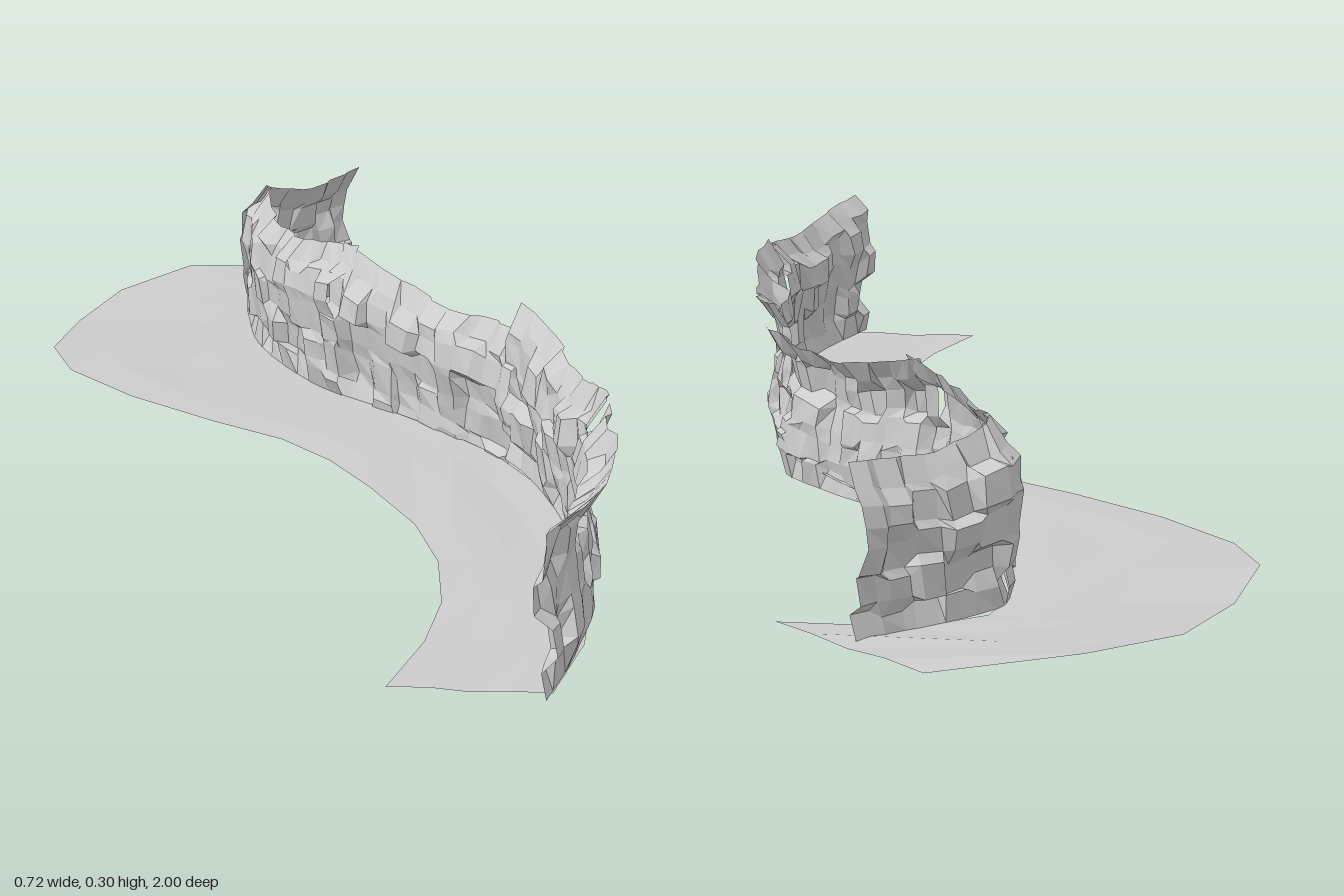
import * as THREE from 'three';

const material = new THREE.MeshStandardMaterial({ color: 0xcccccc, flatShading: true, side: THREE.DoubleSide });
const { lerp, clamp } = THREE.MathUtils;

// Repeatable value in -1..1 for a grid position
function noise(a, b, c = 0) {
  const s = Math.sin(a * 127.1 + b * 311.7 + c * 74.7) * 43758.5453;
  return (s - Math.floor(s)) * 2 - 1;
}

// Faceted sheet from a grid of points: point(column, row) gives a Vector3
function sheet(name, columns, rows, point) {
  const positions = [], index = [];
  for (let i = 0; i <= columns; i++) {
    for (let j = 0; j <= rows; j++) positions.push(...point(i, j).toArray());
  }
  for (let i = 0; i < columns; i++) {
    for (let j = 0; j < rows; j++) {
      const a = i * (rows + 1) + j, b = a + rows + 1;
      index.push(a, a + 1, b + 1, a, b + 1, b);
    }
  }
  const geometry = new THREE.BufferGeometry();
  geometry.setAttribute('position', new THREE.Float32BufferAttribute(positions, 3));
  geometry.setIndex(index);
  geometry.computeVertexNormals();
  const mesh = new THREE.Mesh(geometry, material);
  mesh.name = name;
  return mesh;
}

// Ground strip: outer edge x, z, y and inner edge x, z for each cross-section
const groundRows = [
  [-0.05, 0.92, 0.042, 0.165, 0.97],
  [0.03, 0.78, 0.042, 0.245, 0.82],
  [0.08, 0.65, 0.042, 0.295, 0.66],
  [0.105, 0.50, 0.042, 0.315, 0.50],
  [0.10, 0.35, 0.042, 0.325, 0.34],
  [0.06, 0.18, 0.042, 0.32, 0.20],
  [0.02, 0.05, 0.040, 0.285, 0.06],
  [-0.04, -0.06, 0.040, 0.215, -0.08],
  [-0.14, -0.16, 0.042, 0.14, -0.20],
  [-0.26, -0.30, 0.044, 0.065, -0.32],
  [-0.35, -0.45, 0.046, 0.02, -0.44],
  [-0.37, -0.57, 0.050, 0.00, -0.56],
  [-0.31, -0.73, 0.046, 0.00, -0.68],
  [-0.22, -0.88, 0.054, 0.03, -0.74],
  [-0.08, -0.98, 0.065, 0.13, -0.785],
  [0.13, -1.00, 0.050, 0.32, -0.75],
];

function ground() {
  const across = 4;
  return sheet('groundStrip', groundRows.length - 1, across, (i, j) => {
    const [x0, z0, y0, x1, z1] = groundRows[i];
    const t = j / across;
    const ripple = j > 0 && j < across ? noise(i, j) * 0.003 : 0;
    return new THREE.Vector3(lerp(x0, x1, t), lerp(y0, 0.04, t) + ripple, lerp(z0, z1, t));
  });
}

// Line of the cliff foot
const cliffLine = new THREE.CatmullRomCurve3([
  [0.152, 0.99], [0.225, 0.85], [0.28, 0.70], [0.31, 0.55], [0.322, 0.40], [0.322, 0.25],
  [0.30, 0.10], [0.25, -0.01], [0.19, -0.12], [0.12, -0.22], [0.06, -0.32], [0.025, -0.42],
  [0.0, -0.52], [-0.008, -0.62], [0.005, -0.70], [0.06, -0.75], [0.14, -0.80], [0.21, -0.85],
].map(([x, z]) => new THREE.Vector3(x, 0, z)));

// Cliff sections: start and end along the line, rim height at start, middle and end,
// foot height at start and end. They overlap a little, and the third one sinks at its start.
const sections = [
  [0.0, 0.232, 0.30, 0.265, 0.292, 0.04, 0.04],
  [0.22, 0.455, 0.303, 0.26, 0.297, 0.04, 0.04],
  [0.436, 0.668, 0.255, 0.24, 0.297, 0.002, 0.036],
  [0.654, 0.876, 0.297, 0.265, 0.295, 0.038, 0.04],
  [0.862, 1.0, 0.303, 0.27, 0.285, 0.04, 0.04],
];

// Lean of the cliff face from foot to rim
const lean = [0, 0.003, 0.002, -0.002, -0.007, -0.012, -0.015, -0.01, 0.004, 0.028];

// Moves paired grid lines apart, so that wide blocks alternate with narrow steps
const blockShift = (i) => (i % 2 ? 0.22 : -0.22);

function cliffSection([start, end, h0, h1, h2, foot0, foot1], k) {
  const columns = Math.round((end - start) * 34) * 2 + 1, rows = lean.length - 1;
  return sheet('cliffSection' + (k + 1), columns, rows, (i, j) => {
    const sideEdge = i === 0 || i === columns, levelEdge = j === 0 || j === rows;
    const u = (i + (sideEdge ? 0 : blockShift(i))) / columns;
    const v = (j + (levelEdge ? 0 : blockShift(j))) / rows;
    const t = clamp(lerp(start, end, u), 0, 1);
    const p = cliffLine.getPointAt(t);
    const tangent = cliffLine.getTangentAt(t);
    const outward = new THREE.Vector3(-tangent.z, 0, tangent.x);
    // blocks stand out by different amounts, with a finer roughness on top
    const block = noise(i >> 1, j >> 1, k) * 0.015;
    const relief = j === 0 ? 0 : block + noise(i, j, k + 9) * 0.004;
    p.addScaledVector(outward, lean[j] + relief * (j === rows ? 0.5 : 1));
    p.addScaledVector(tangent, noise(i >> 1, j, k + 20) * 0.007);
    const rim = u < 0.5 ? lerp(h0, h1, u * 2) : lerp(h1, h2, u * 2 - 1);
    p.y = lerp(lerp(foot0, foot1, u), rim, v) + (levelEdge ? 0 : noise(i >> 1, j, k + 40) * 0.009);
    return p;
  });
}

export function createModel() {
  const model = new THREE.Group();
  model.name = 'cliffAndPath';
  const cliff = new THREE.Group();
  cliff.name = 'cliff';
  sections.forEach((section, k) => cliff.add(cliffSection(section, k)));
  model.add(ground(), cliff);
  return model;
}
